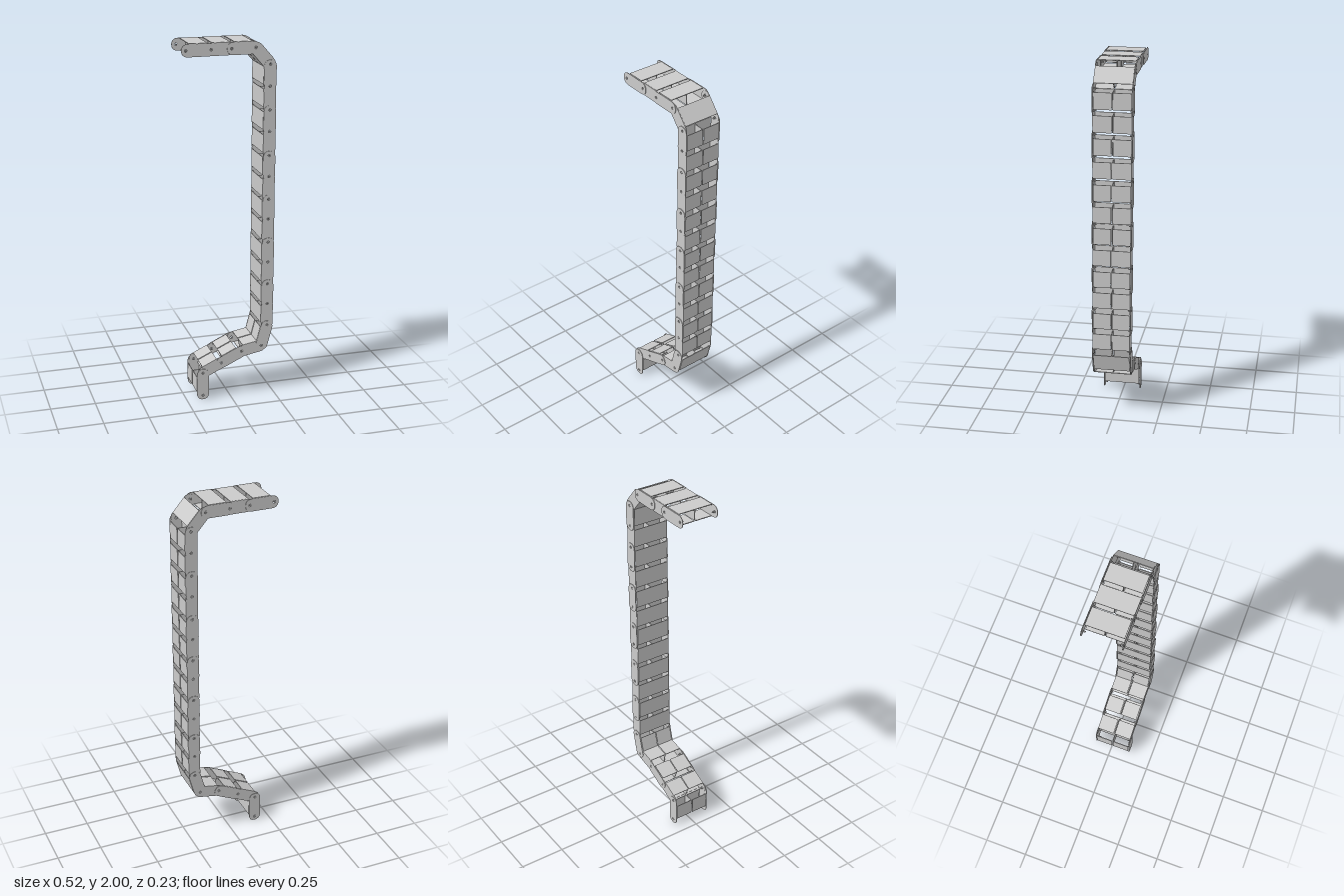
import * as THREE from 'three';

const HALF_H = 0.034;   // half height of a side plate
const OVERHANG = 0.024; // plate length beyond each pin
const PLATE_T = 0.003;

const material = new THREE.MeshStandardMaterial({ color: 0xcccccc, flatShading: true });

// Pin positions along the chain, from the upper free end to the lower one
function pinPath() {
  const pins = [[-0.238, 1.965], [-0.102, 1.965], [0.008, 1.965], [0.14, 1.965]];
  const ys = [1.873, 1.757, 1.63, 1.513, 1.381, 1.265, 1.138, 1.026, 0.894, 0.778, 0.651, 0.534, 0.407];
  ys.forEach((y, i) => pins.push([0.22 - 0.008 * i / 12, y]));
  pins.push([0.18, 0.286], [0.065, 0.265], [-0.053, 0.21], [-0.16, 0.16], [-0.16, 0.025]);
  return pins.map(([x, y]) => new THREE.Vector2(x, y));
}

// Side plate: a bar with rounded, slightly tapered ends and two pin holes
function plateGeometry(length) {
  const a = length / 2, e = a + OVERHANG, h = HALF_H;
  const s = new THREE.Shape();
  s.moveTo(-a + 0.012, -h);
  s.lineTo(a - 0.012, -h);
  s.bezierCurveTo(a + 0.012, -h, e, -0.02, e, 0);
  s.bezierCurveTo(e, 0.02, a + 0.012, h, a - 0.012, h);
  s.lineTo(-a + 0.012, h);
  s.bezierCurveTo(-a - 0.012, h, -e, 0.02, -e, 0);
  s.bezierCurveTo(-e, -0.02, -a - 0.012, -h, -a + 0.012, -h);
  for (const x of [-a, a]) {
    const hole = new THREE.Path();
    hole.absarc(x, 0, 0.007, 0, Math.PI * 2, true);
    s.holes.push(hole);
  }
  const g = new THREE.ExtrudeGeometry(s, { depth: PLATE_T, bevelEnabled: false, curveSegments: 8 });
  return g.translate(0, 0, -PLATE_T / 2);
}

function add(parent, name, geometry, x, y, z) {
  const m = new THREE.Mesh(geometry, material);
  m.name = name;
  m.position.set(x, y, z);
  parent.add(m);
  return m;
}

// One link: two plates, a full cover, a split cover and a divider between
function makeLink(length, outer, side) {
  const link = new THREE.Group();
  const zPlate = outer ? 0.105 : 0.1015;
  const plate = plateGeometry(length);
  const coverLength = 0.098;
  const half = 0.1;

  for (const s of [-1, 1]) {
    add(link, 'sidePlate', plate, 0, 0, s * zPlate);
    if (outer) {
      for (const e of [-1, 1]) {
        const pin = add(link, 'pin', new THREE.CylinderGeometry(0.004, 0.004, 0.018, 10),
          e * length / 2, 0, s * (zPlate - 0.008));
        pin.rotation.x = Math.PI / 2;
      }
    }
    add(link, 'splitCover', new THREE.BoxGeometry(coverLength - 0.008, 0.004, half - 0.004),
      0, -side * (HALF_H - 0.002), s * (half + 0.004) / 2);
  }
  add(link, 'fullCover', new THREE.BoxGeometry(coverLength, 0.004, half * 2),
    0, side * (HALF_H - 0.001), 0);
  add(link, 'divider', new THREE.BoxGeometry(coverLength - 0.01, HALF_H * 2 - 0.008, 0.004), 0, 0, 0);
  return link;
}

export function createModel() {
  const model = new THREE.Group();
  model.name = 'cableChain';
  const pins = pinPath();
  for (let i = 0; i < pins.length - 1; i++) {
    const a = pins[i], b = pins[i + 1];
    // the full cover changes sides along the vertical run
    const side = i >= 4 && i < 16 ? -1 : 1;
    const link = makeLink(a.distanceTo(b), i % 2 === 0, side);
    link.name = 'chainLink' + (i + 1);
    const y = (a.y + b.y) / 2;
    // the chain drifts slightly forward towards its lower end
    link.position.set((a.x + b.x) / 2, y, 0.008 * (1 - y));
    link.rotation.z = Math.atan2(b.y - a.y, b.x - a.x);
    model.add(link);
  }
  return model;
}
